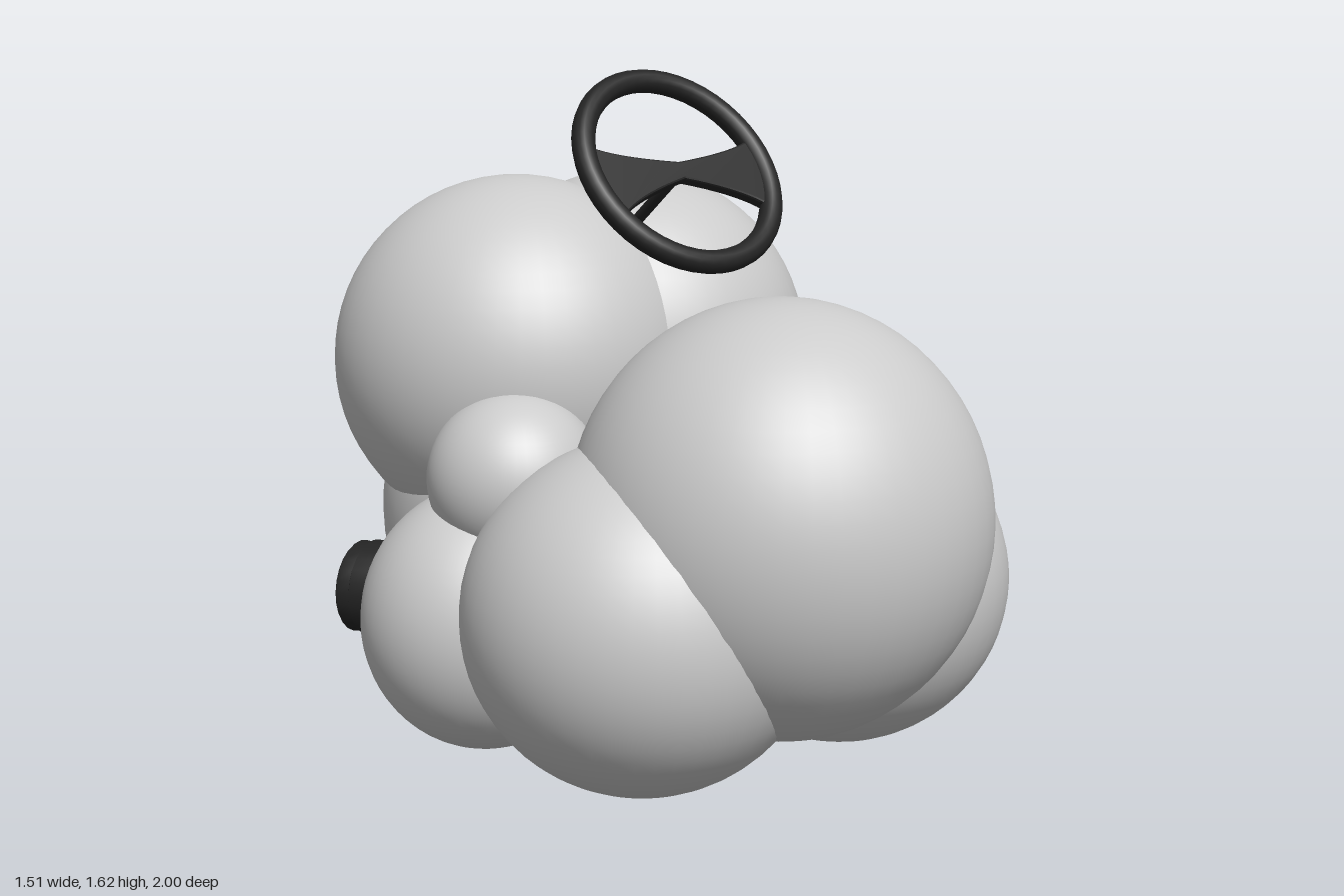
import * as THREE from 'three';

const cloudMat = new THREE.MeshStandardMaterial({ color: 0xcccccc });
const darkMat = new THREE.MeshStandardMaterial({ color: 0x242424 });
const darkOpenMat = new THREE.MeshStandardMaterial({ color: 0x242424, side: THREE.DoubleSide });

function add(parent, name, geometry, material) {
  const mesh = new THREE.Mesh(geometry, material);
  mesh.name = name;
  parent.add(mesh);
  return mesh;
}

// Puffs: name, centre, radii
const puffs = [
  ['frontPuff', [-0.055, 0.62, 0.515], [0.485, 0.505, 0.485]],
  ['frontLeftPuff', [0.262, 0.41, 0.405], [0.413, 0.405, 0.415]],
  ['frontRightPuff', [-0.333, 0.41, 0.355], [0.413, 0.405, 0.415]],
  ['leftSidePuff', [0.445, 0.345, -0.018], [0.31, 0.318, 0.29]],
  ['rightSidePuff', [-0.447, 0.345, -0.06], [0.31, 0.318, 0.29]],
  ['leftShoulderPuff', [0.4, 0.685, 0.085], [0.205, 0.205, 0.205]],
  ['rightShoulderPuff', [-0.42, 0.685, 0.01], [0.205, 0.205, 0.205]],
  ['rearBodyPuff', [0.01, 0.512, -0.255], [0.51, 0.51, 0.505]],
  ['upperLeftPuff', [0.19, 0.905, -0.27], [0.455, 0.455, 0.455]],
  ['upperRightPuff', [-0.15, 0.905, -0.312], [0.455, 0.455, 0.455]],
  ['tailPuff', [0.057, 0.75, -0.703], [0.297, 0.3, 0.297]],
];

// Steering wheel: rim, bow-tie spokes and column, built facing +z
function steeringWheel() {
  const wheel = new THREE.Group();
  wheel.name = 'steeringWheel';
  add(wheel, 'wheelRim', new THREE.TorusGeometry(0.254, 0.028, 16, 48), darkMat);

  const s = new THREE.Shape();
  s.moveTo(-0.245, 0.07);
  s.quadraticCurveTo(-0.19, 0.035, 0, 0.012);
  s.quadraticCurveTo(0.19, 0.035, 0.245, 0.07);
  s.lineTo(0.225, -0.125);
  s.quadraticCurveTo(0.17, -0.07, 0, -0.026);
  s.quadraticCurveTo(-0.17, -0.07, -0.225, -0.125);
  s.closePath();
  const spokes = new THREE.ExtrudeGeometry(s, {
    depth: 0.016, bevelEnabled: true, bevelThickness: 0.006, bevelSize: 0.005, bevelSegments: 2, curveSegments: 10,
  });
  spokes.translate(0, 0, -0.01);
  add(wheel, 'wheelSpokes', spokes, darkMat);

  const column = new THREE.CylinderGeometry(0.014, 0.014, 0.28, 14);
  column.rotateX(Math.PI / 2);
  column.translate(0, -0.005, -0.14);
  add(wheel, 'steeringColumn', column, darkMat);

  wheel.position.set(-0.008, 1.387, 0.128);
  wheel.rotation.set(-0.64, -0.1, 0, 'YXZ');
  return wheel;
}

// Hollow exhaust pipe with a stepped lip, mouth centre at the given point
function exhaust(name, mouth, direction) {
  const profile = [
    [0.1, -0.27], [0.116, -0.18], [0.124, -0.09], [0.125, -0.045], [0.125, -0.045],
    [0.117, -0.04], [0.117, -0.04], [0.12, -0.006], [0.114, 0], [0.114, 0],
    [0.096, 0], [0.096, 0], [0.09, -0.06], [0.088, -0.25],
  ].map(([r, y]) => new THREE.Vector2(r, y));
  const pipe = add(new THREE.Group(), name, new THREE.LatheGeometry(profile, 24), darkOpenMat);
  pipe.position.set(...mouth);
  pipe.quaternion.setFromUnitVectors(new THREE.Vector3(0, 1, 0), new THREE.Vector3(...direction).normalize());
  return pipe;
}

export function createModel() {
  const model = new THREE.Group();
  model.name = 'cloudKart';

  const cloud = new THREE.Group();
  cloud.name = 'cloudBody';
  model.add(cloud);
  const ball = new THREE.SphereGeometry(1, 48, 32);
  for (const [name, centre, radii] of puffs) {
    const puff = add(cloud, name, ball, cloudMat);
    puff.position.set(...centre);
    puff.scale.set(...radii);
  }

  model.add(steeringWheel());
  model.add(exhaust('leftExhaust', [0.485, 0.268, -0.637], [0.56, 0, -0.83]));
  model.add(exhaust('rightExhaust', [-0.375, 0.268, -0.715], [-0.42, 0, -0.9]));
  return model;
}
